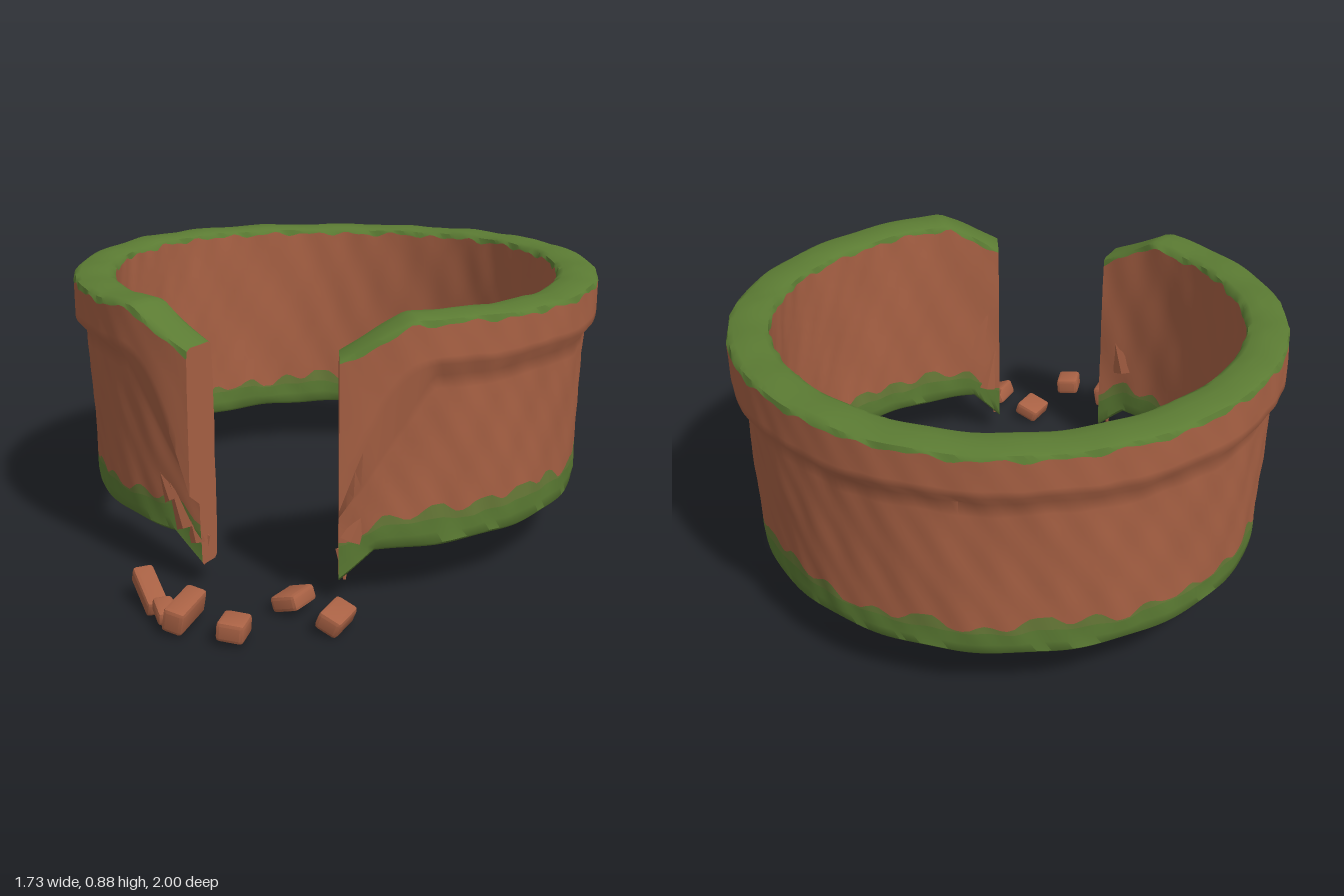
import * as THREE from 'three';
import { toCreasedNormals } from 'three/addons/utils/BufferGeometryUtils.js';
import { RoundedBoxGeometry } from 'three/addons/geometries/RoundedBoxGeometry.js';

const CENTRE_Z = -0.135;
const GAP = 0.265; // half angle of the breach at the front
const SEGMENTS = 220;

const { lerp, clamp } = THREE.MathUtils;
const ramp = (s, length, from, to) => lerp(from, to, clamp(s / length, 0, 1));

// Uneven lumps and dents that make the clay look hand worn
const lump = (a, y) =>
  0.4 * Math.sin(a * 11 + y * 9 + 1) + 0.35 * Math.sin(a * 23 - y * 17 + Math.sin(a * 7)) +
  0.45 * Math.sin(a * 41 + y * 23 + 2) * Math.sin(y * 15 + a * 5);

// Patchy bumps, from 0 to 1, for the ragged edge of the moss
const patch = (a) => clamp(0.5 + 0.5 * Math.sin(a * 9 + 2 * Math.sin(a * 4)) + 0.4 * Math.sin(a * 31 + 1), 0, 1);

// Point on the ring from angle (0 = front), radius and height
const onRing = (a, r, y) => [r * Math.sin(a), y, CENTRE_Z + r * Math.cos(a)];

// Heights along the wall; s is the angle left to the nearest broken end
function levels(a) {
  const s = Math.min(a - GAP, 2 * Math.PI - GAP - a);
  const top = ramp(s, 0.25, 0.76, 0.872) + 0.006 * Math.sin(a * 3 + 1) + 0.002 * Math.sin(a * 19);
  const base = ramp(s, 0.13, 0.08, 0.17) + 0.003 * Math.sin(a * 17);
  const flange = ramp(s, 0.33, 0.28, 0.695) + 0.004 * Math.sin(a * 13);
  const slope = 0.04 + 0.12 * Math.sin(Math.PI * clamp(s / 0.33, 0, 1));
  const moss = ramp(s, 0.15, 0.18, 0.245) + 0.012 * patch(a + 1);
  const fringe = moss + 0.006 + 0.038 * patch(a);
  const lip = top - 0.02 + 0.005 * Math.sin(a * 29) + 0.004 * Math.sin(a * 53);
  return { top, base, flange, slope, moss, fringe, lip };
}

const outerR = (a, y) => 0.808 + 0.018 * clamp((y - 0.17) / 0.53, 0, 1) + 0.005 * lump(a, y);
const rimR = (a, y) => 0.862 + 0.003 * lump(a, y);
const innerR = (a, y) => 0.729 + 0.005 * lump(a + 2, y);

// Evenly spaced points on one face of the wall
const rows = (radius, a, from, to, count) =>
  Array.from({ length: count + 1 }, (_, i) => {
    const y = lerp(from, to, i / count);
    return [radius(a, y), y];
  });

// Cross-sections of the wall, each running outside-up, then inside-down
function outerWall(a) {
  const { flange, slope, fringe, lip } = levels(a);
  return [...rows(outerR, a, fringe, flange, 10), ...rows(rimR, a, flange + slope, lip, 5)];
}

function mossyTop(a) {
  const { top, lip } = levels(a);
  const bump = 0.002 * lump(a, 1);
  return [
    [rimR(a, lip), lip], [0.856, top - 0.006], [0.84, top + bump], [0.79, top + 0.003 - bump],
    [0.75, top + bump], [0.736, top - 0.006], [innerR(a, lip), lip],
  ];
}

function innerWall(a) {
  const { fringe, lip } = levels(a);
  return rows(innerR, a, lip, fringe, 14);
}

function innerFringe(a) {
  const { moss, fringe } = levels(a);
  return rows(innerR, a, fringe, moss, 1);
}

function mossyBase(a) {
  const { base, moss } = levels(a);
  const mid = (base + moss) / 2;
  return [
    [innerR(a, moss), moss], [innerR(a, mid), mid], [0.731, base + 0.01], [0.74, base],
    [0.798, base], [0.808, base + 0.01], [outerR(a, mid), mid], [outerR(a, moss), moss],
  ];
}

function outerFringe(a) {
  const { moss, fringe } = levels(a);
  return rows(outerR, a, moss, fringe, 1);
}

function finish(positions, index) {
  const geometry = new THREE.BufferGeometry();
  geometry.setAttribute('position', new THREE.Float32BufferAttribute(positions, 3));
  geometry.setIndex(index);
  return toCreasedNormals(geometry, 0.8);
}

// Sweep a cross-section round the ring from one broken end to the other
function sweep(section) {
  const positions = [], index = [];
  let n = 0;
  for (let i = 0; i <= SEGMENTS; i++) {
    const a = lerp(GAP, 2 * Math.PI - GAP, i / SEGMENTS);
    const points = section(a);
    n = points.length;
    for (const [r, y] of points) positions.push(...onRing(a, r, y));
  }
  for (let i = 0; i < SEGMENTS; i++) {
    for (let j = 0; j < n - 1; j++) {
      const p = i * n + j;
      index.push(p, p + n, p + 1, p + 1, p + n, p + n + 1);
    }
  }
  return finish(positions, index);
}

// Broken face closing one end of the wall
function brokenEnd(a, flip) {
  const sections = [outerWall, mossyTop, innerWall, innerFringe, mossyBase, outerFringe];
  const points = sections.flatMap((section) => section(a).slice(0, -1));
  const positions = onRing(a, 0.775, 0.45);
  const index = [];
  points.forEach(([r, y], i) => {
    positions.push(...onRing(a, r, y));
    const p = i + 1, q = ((i + 1) % points.length) + 1;
    index.push(0, flip ? q : p, flip ? p : q);
  });
  return finish(positions, index);
}

export function createModel() {
  const model = new THREE.Group();
  const material = (name, color) => {
    const made = new THREE.MeshStandardMaterial({ color });
    made.name = name;
    return made;
  };
  const clay = material('clay', 0xa86144);
  const moss = material('moss', 0x5b7b33);
  const thinMoss = material('thinMoss', 0x687a38);

  const add = (name, geometry, paint) => {
    const mesh = new THREE.Mesh(geometry, paint);
    mesh.name = name;
    model.add(mesh);
    return mesh;
  };

  // Ring wall
  add('outerWall', sweep(outerWall), clay);
  add('innerWall', sweep(innerWall), clay);
  add('mossyTop', sweep(mossyTop), moss);
  add('mossyBase', sweep(mossyBase), moss);
  add('outerMossFringe', sweep(outerFringe), thinMoss);
  add('innerMossFringe', sweep(innerFringe), thinMoss);
  add('leftBrokenEnd', brokenEnd(GAP, false), clay);
  add('rightBrokenEnd', brokenEnd(2 * Math.PI - GAP, true), clay);

  // Splinters beside the breach and inside: angle, radius, height, size, lean
  const splinters = [
    [-0.45, 0.808, 0.34, 0.16, 0.5], [-0.38, 0.808, 0.27, 0.17, 0.4], [-0.31, 0.806, 0.22, 0.14, 0.3],
    [0.34, 0.808, 0.27, 0.14, -0.4], [-0.285, 0.775, 0.12, 0.1, 3.1], [0.285, 0.775, 0.12, 0.1, 3.2],
    [0.36, 0.729, 0.42, 0.18, 0.3], [-0.36, 0.729, 0.42, 0.18, -0.3], [0.31, 0.729, 0.28, 0.16, 0.2],
  ];
  for (const [a, r, y, size, lean] of splinters) {
    const splinter = add('splinter', new THREE.CylinderGeometry(0.004, size * 0.22, size, 4), clay);
    splinter.geometry.scale(1, 1, 0.3);
    splinter.geometry = toCreasedNormals(splinter.geometry, 0.4);
    splinter.position.set(...onRing(a, r, y));
    splinter.rotation.set(0, a, lean, 'YXZ');
  }

  // Fallen bricks: position, size, rotation
  const bricks = [
    [[-0.32, 0.057, 0.8], [0.16, 0.055, 0.065], [0, -0.87, -0.4]],
    [[-0.235, 0.045, 0.895], [0.06, 0.045, 0.09], [0.2, 0.6, 0]],
    [[-0.175, 0.057, 0.9], [0.066, 0.075, 0.16], [0.08, -0.1, -0.2]],
    [[-0.01, 0.047, 0.95], [0.082, 0.06, 0.094], [0, 0.03, -0.08]],
    [[0.095, 0.045, 0.72], [0.09, 0.05, 0.11], [0, -0.3, 0.3]],
    [[0.247, 0.045, 0.81], [0.074, 0.058, 0.12], [0.05, -0.2, -0.4]],
  ];
  for (const [position, size, rotation] of bricks) {
    const brick = add('fallenBrick', new RoundedBoxGeometry(...size, 1, 0.012), clay);
    brick.geometry = toCreasedNormals(brick.geometry, 0.4);
    brick.position.set(...position);
    brick.rotation.set(...rotation, 'YXZ');
  }
  return model;
}
